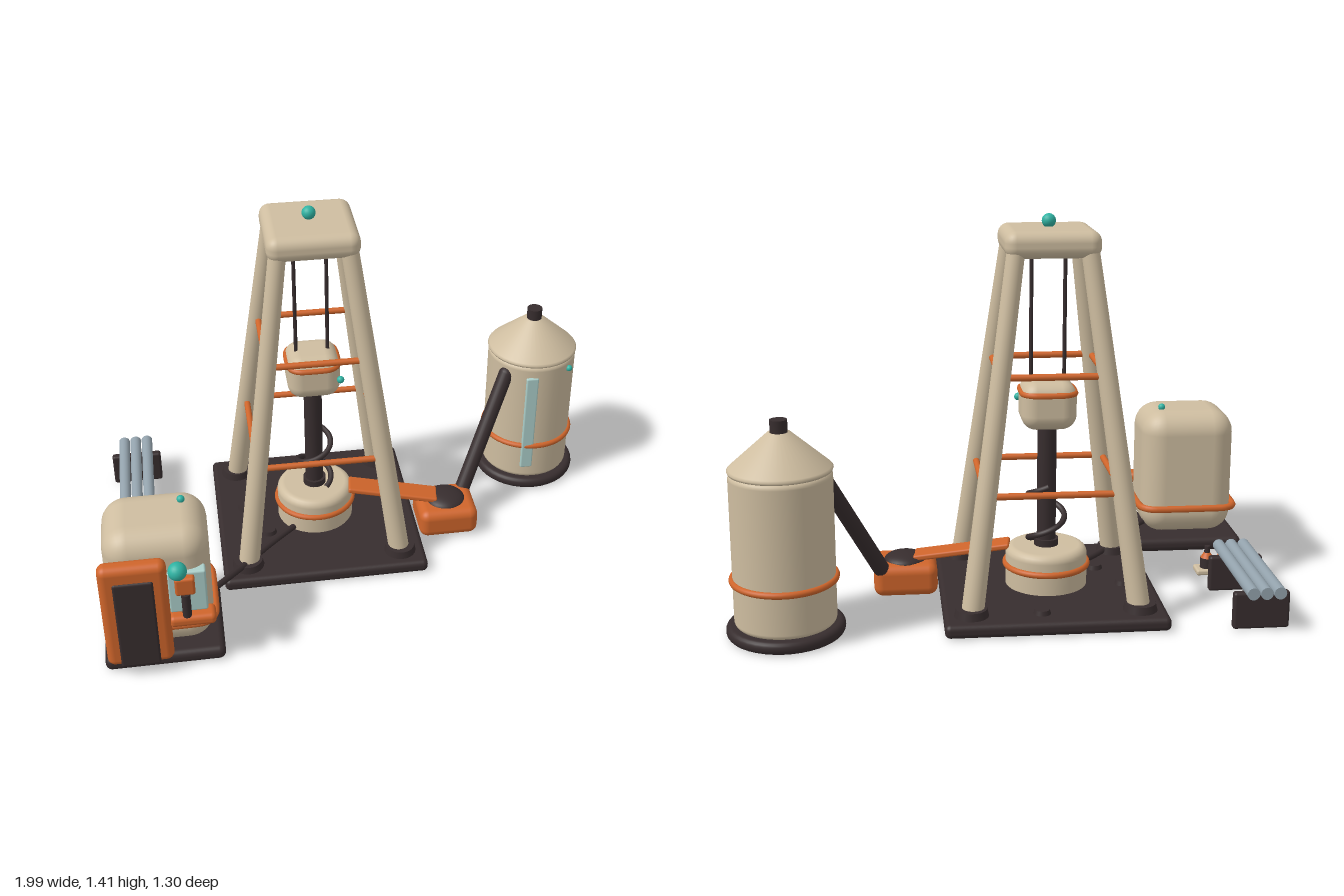
import * as THREE from 'three';
import { RoundedBoxGeometry } from 'three/addons/geometries/RoundedBoxGeometry.js';

const mat = (name, color) => {
  const m = new THREE.MeshStandardMaterial({ color });
  m.name = name;
  return m;
};

export function createModel() {
  const cream = mat('cream', 0xcebda0), orange = mat('orange', 0xcf652b), dark = mat('charcoal', 0x372d2e);
  const teal = mat('teal', 0x2fb3a3), glass = mat('glass', 0xaccfca), steel = mat('steel', 0x93a2ac);
  const model = new THREE.Group();
  const V = (x, y, z) => new THREE.Vector3(x, y, z);

  const group = (name, x = 0, y = 0, z = 0, parent = model) => {
    const g = new THREE.Group();
    g.name = name;
    g.position.set(x, y, z);
    parent.add(g);
    return g;
  };
  const add = (parent, name, geo, material, x = 0, y = 0, z = 0) => {
    const m = new THREE.Mesh(geo, material);
    m.name = name;
    m.position.set(x, y, z);
    parent.add(m);
    return m;
  };
  const box = (parent, name, material, size, pos, r) =>
    add(parent, name, new RoundedBoxGeometry(...size, 4, r), material, ...pos);
  const cyl = (parent, name, material, rTop, rBottom, h, pos) =>
    add(parent, name, new THREE.CylinderGeometry(rTop, rBottom, h, 24), material, ...pos);
  const ball = (parent, name, r, pos) => add(parent, name, new THREE.SphereGeometry(r, 20, 14), teal, ...pos);
  // Straight round bar from a to b
  const rod = (parent, name, material, a, b, rA, rB = rA) => {
    const dir = b.clone().sub(a);
    const m = cyl(parent, name, material, rB, rA, dir.length(), a.clone().add(b).multiplyScalar(0.5).toArray());
    m.quaternion.setFromUnitVectors(V(0, 1, 0), dir.normalize());
    return m;
  };
  const lathe = (parent, name, material, profile) =>
    add(parent, name, new THREE.LatheGeometry(profile.map(p => new THREE.Vector2(...p)), 40), material);
  // Turned drum with softened rims
  const drum = (parent, name, material, r, y0, y1, bevel) => {
    const p = [[0, y0]];
    for (let i = 0; i <= 5; i++) {
      const a = i / 5 * Math.PI / 2;
      p.push([r - bevel + bevel * Math.sin(a), y0 + bevel - bevel * Math.cos(a)]);
    }
    for (let i = 0; i <= 5; i++) {
      const a = i / 5 * Math.PI / 2;
      p.push([r - bevel + bevel * Math.cos(a), y1 - bevel + bevel * Math.sin(a)]);
    }
    p.push([0, y1]);
    return lathe(parent, name, material, p);
  };
  const hoop = (parent, name, r, tube, y) => {
    const m = add(parent, name, new THREE.TorusGeometry(r, tube, 10, 48), orange, 0, y, 0);
    m.rotation.x = Math.PI / 2;
    return m;
  };
  // Band following a rounded rectangle
  const band = (parent, name, w, d, corner, tube, pos) => {
    const pts = [];
    for (let q = 0; q < 4; q++) {
      const sx = q === 0 || q === 3 ? 1 : -1, sz = q < 2 ? 1 : -1;
      for (let i = 0; i <= 6; i++) {
        const a = (q + i / 6) * Math.PI / 2;
        pts.push(V(sx * (w / 2 - corner) + corner * Math.cos(a), 0, sz * (d / 2 - corner) + corner * Math.sin(a)));
      }
    }
    const path = new THREE.CatmullRomCurve3(pts, true, 'centripetal');
    return add(parent, name, new THREE.TubeGeometry(path, 96, tube, 8, true), orange, ...pos);
  };

  // Derrick tower
  const tower = group('tower', -0.153, 0, -0.178);
  box(tower, 'basePlate', dark, [0.79, 0.05, 0.785], [0, 0.025, 0], 0.02);
  box(tower, 'crown', cream, [0.335, 0.095, 0.335], [0, 1.32, 0], 0.04);
  ball(tower, 'crownLamp', 0.025, [0, 1.388, 0]);
  for (const sx of [-1, 1]) {
    for (const sz of [-1, 1]) {
      rod(tower, 'leg', cream, V(sx * 0.295, 0.05, sz * 0.295), V(sx * 0.128, 1.3, sz * 0.128), 0.04, 0.032);
      cyl(tower, 'footPad', dark, 0.055, 0.062, 0.03, [sx * 0.298, 0.062, sz * 0.298]);
    }
    rod(tower, 'cable', dark, V(sx * 0.06, 0.8, 0), V(sx * 0.06, 1.29, 0), 0.007);
  }
  for (const [y, o] of [[0.462, 0.242], [0.87, 0.185]]) {
    for (let i = 0; i < 4; i++) {
      const a = i * Math.PI / 2, up = V(0, 1, 0);
      rod(tower, 'brace', orange, V(-o, y, o).applyAxisAngle(up, a), V(o, y, o).applyAxisAngle(up, a), 0.012);
    }
  }
  for (const [x, z] of [[0.05, -0.302], [-0.28, -0.052], [-0.2, 0.115]]) {
    cyl(tower, 'plateBolt', dark, 0.026, 0.032, 0.02, [x, 0.056, z]);
  }

  // Drill string
  const drill = group('drill', 0, 0, 0, tower);
  drum(drill, 'drillDrum', cream, 0.15, 0.01, 0.197, 0.03);
  hoop(drill, 'drumBand', 0.15, 0.012, 0.128);
  cyl(drill, 'drillCollar', dark, 0.045, 0.045, 0.03, [0, 0.207, 0]);
  cyl(drill, 'drillPipe', dark, 0.035, 0.035, 0.48, [0, 0.43, 0]);
  const coil = [];
  for (let i = 0; i <= 28; i++) {
    const t = i / 28, a = -Math.PI / 2 + t * 1.4 * 2 * Math.PI;
    coil.push(V(0.066 * Math.cos(a), 0.435 - t * 0.235, 0.066 * Math.sin(a)));
  }
  add(drill, 'spiralHose', new THREE.TubeGeometry(new THREE.CatmullRomCurve3(coil), 90, 0.011, 8), dark);
  box(drill, 'driveHead', cream, [0.2, 0.175, 0.2], [0, 0.735, 0], 0.055);
  band(drill, 'headBand', 0.19, 0.19, 0.055, 0.011, [0, 0.78, 0]);
  ball(drill, 'headLamp', 0.014, [0.096, 0.735, 0.096]);

  // Chute and collecting hopper
  const hopper = group('hopper', 0.365, 0, -0.08);
  box(hopper, 'hopperBox', orange, [0.235, 0.12, 0.21], [0, 0.065, 0], 0.035);
  const dome = add(hopper, 'hopperMouth', new THREE.SphereGeometry(0.08, 28, 10, 0, Math.PI * 2, 0, Math.PI / 2), dark, 0, 0.118, -0.005);
  dome.scale.y = 0.4;
  const chute = box(hopper, 'chute', orange, [0.36, 0.022, 0.09], [-0.21, 0.163, -0.035], 0.008);
  chute.rotation.set(0, -0.14, -0.15, 'YXZ');
  rod(model, 'feedPipe', dark, V(0.44, 0.08, -0.145), V(0.655, 0.53, -0.335), 0.03);
  add(model, 'feedPipeElbow', new THREE.SphereGeometry(0.03, 16, 12), dark, 0.655, 0.53, -0.335);

  // Storage silo
  const silo = group('silo', 0.787, 0, -0.442);
  drum(silo, 'siloBase', dark, 0.206, 0, 0.045, 0.02);
  drum(silo, 'siloBody', cream, 0.177, 0.04, 0.588, 0.02);
  lathe(silo, 'siloRoof', cream, [[0, 0.587], [0.177, 0.587], [0.18, 0.595], [0.174, 0.602], [0.04, 0.72], [0, 0.722]]);
  cyl(silo, 'roofVent', dark, 0.03, 0.03, 0.055, [0, 0.737, 0]);
  hoop(silo, 'siloBand', 0.178, 0.012, 0.205);
  box(silo, 'levelWindow', glass, [0.05, 0.44, 0.016], [-0.038, 0.32, 0.174], 0.006);
  ball(silo, 'siloLamp', 0.013, [0.123, 0.548, 0.133]);

  // Control cabin
  const cabin = group('cabin', -0.785, 0, 0.39);
  box(cabin, 'cabinBase', dark, [0.43, 0.055, 0.365], [0, 0.0275, 0], 0.024);
  box(cabin, 'cabinBody', cream, [0.37, 0.505, 0.31], [0, 0.312, 0], 0.09);
  band(cabin, 'cabinBand', 0.38, 0.325, 0.06, 0.014, [0, 0.175, 0]);
  box(cabin, 'sidePanel', orange, [0.235, 0.445, 0.065], [-0.085, 0.275, 0.183], 0.028);
  box(cabin, 'panelInset', dark, [0.14, 0.38, 0.02], [-0.085, 0.245, 0.212], 0.009);
  box(cabin, 'serviceWindow', glass, [0.135, 0.18, 0.045], [0.098, 0.33, 0.147], 0.008);
  box(cabin, 'nozzle', orange, [0.07, 0.075, 0.035], [0.09, 0.373, 0.178], 0.01);
  cyl(cabin, 'nozzleStem', dark, 0.016, 0.016, 0.1, [0.09, 0.287, 0.184]);
  box(cabin, 'serviceTray', orange, [0.165, 0.045, 0.075], [0.108, 0.218, 0.166], 0.018);
  ball(cabin, 'signalLamp', 0.033, [0.07, 0.477, 0.224]);
  ball(cabin, 'roofLamp', 0.014, [0.1, 0.572, -0.048]);

  // Hose from cabin to drill
  const hosePath = new THREE.CatmullRomCurve3([
    V(-0.63, 0.1, 0.33), V(-0.57, 0.095, 0.27), V(-0.45, 0.07, 0.13), V(-0.36, 0.062, 0.03), V(-0.25, 0.062, -0.07)]);
  add(model, 'supplyHose', new THREE.TubeGeometry(hosePath, 40, 0.012, 8), dark);

  // Pipe rack
  const rack = group('pipeRack', -0.863, 0, -0.378);
  for (const z of [-0.177, 0.177]) box(rack, 'rackSupport', dark, [0.2, 0.135, 0.032], [0, 0.0675, z], 0.01);
  for (const x of [-0.047, 0, 0.047]) {
    rod(rack, 'sparePipe', steel, V(x, 0.152, -0.247), V(x, 0.152, 0.247), 0.022);
  }

  // Sample bottles on a tray
  const samples = group('sampleTray', -0.863, 0, -0.022);
  box(samples, 'tray', cream, [0.215, 0.022, 0.075], [0, 0.011, 0], 0.008);
  for (const x of [-0.062, 0, 0.062]) {
    cyl(samples, 'bottle', dark, 0.026, 0.026, 0.04, [x, 0.042, 0]);
    cyl(samples, 'bottleShoulder', orange, 0.012, 0.025, 0.02, [x, 0.072, 0]);
    cyl(samples, 'bottleNeck', dark, 0.011, 0.011, 0.03, [x, 0.093, 0]);
  }
  return model;
}
